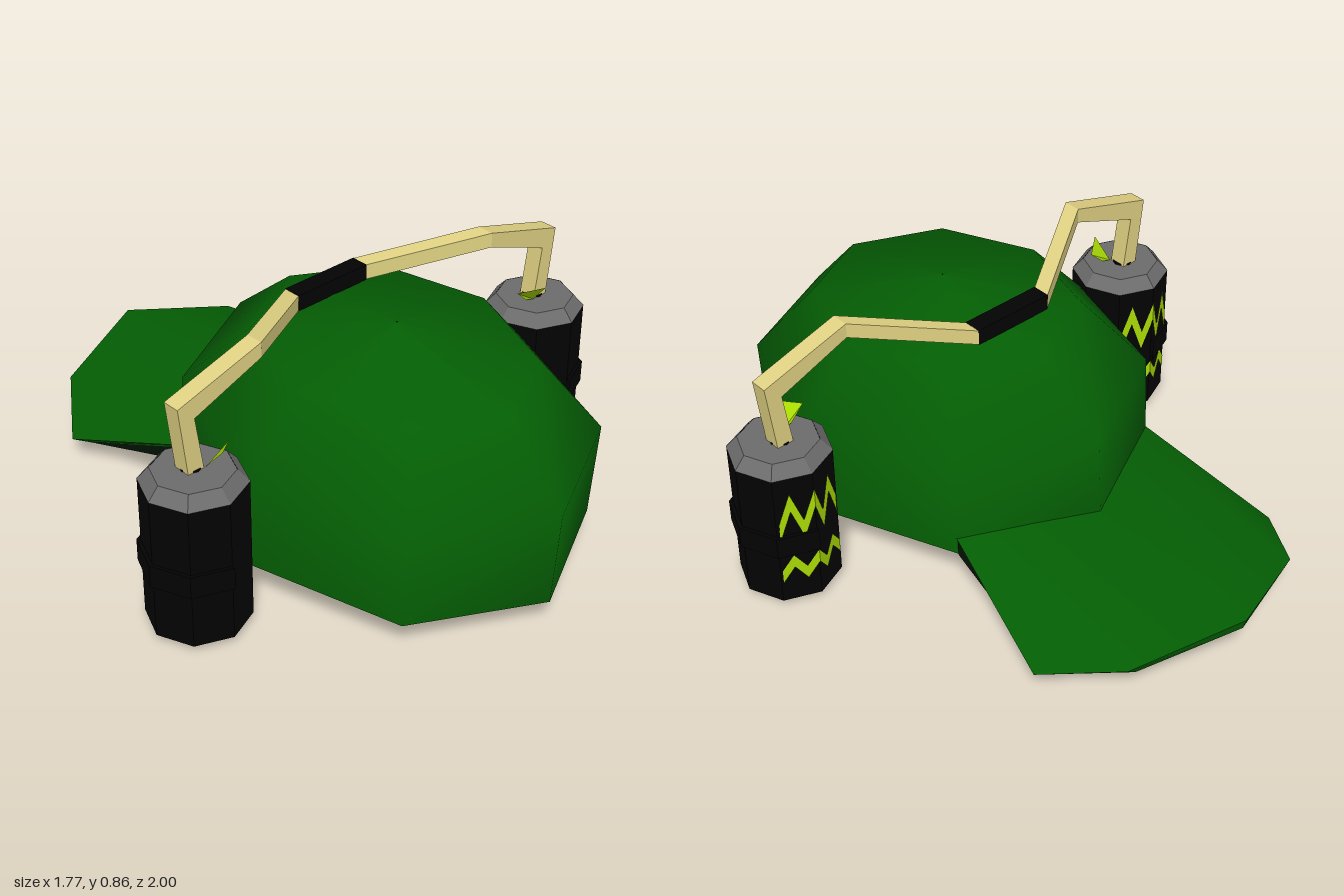
import * as THREE from 'three';

const mat = (name, color, flatShading = false) =>
  new THREE.MeshStandardMaterial({ name, color, side: THREE.DoubleSide, flatShading });

// Skins a list of equally long cross-sections; closed joins the last point to the first.
// Open sheets mirror their diagonals about the middle.
function loft(sections, closed, capEnds = false) {
  const n = sections[0].length, index = [];
  for (let r = 0; r < sections.length - 1; r++) {
    for (let i = 0; i < (closed ? n : n - 1); i++) {
      const a = r * n + i, b = r * n + (i + 1) % n;
      if (!closed && i >= (n - 1) / 2) index.push(a, b, a + n, b, b + n, a + n);
      else index.push(a, b, b + n, a, b + n, a + n);
    }
  }
  if (capEnds) {
    const e = (sections.length - 1) * n;
    for (let i = 1; i < n - 1; i++) index.push(0, i + 1, i, e, e + i, e + i + 1);
  }
  const g = new THREE.BufferGeometry();
  g.setAttribute('position', new THREE.Float32BufferAttribute(sections.flat(2), 3));
  g.setIndex(index);
  g.computeVertexNormals();
  return g;
}

export function createModel() {
  const green = mat('cap green', 0x045e04);
  const lining = mat('dark lining', 0x041505);
  const brimUnder = mat('dark brim green', 0x031203, true);
  const brimEdge = mat('brim edge green', 0x045e04, true);
  const black = mat('black', 0x030303, true);
  const grey = mat('can metal', 0x6c6c6c, true);
  const tan = mat('straw tan', 0xe0d182, true);
  const lime = mat('lime', 0xaada04, true);

  const model = new THREE.Group();
  model.name = 'drinkCap';
  const add = (parent, name, geometry, material, x = 0, y = 0, z = 0) => {
    const m = new THREE.Mesh(geometry, material);
    m.name = name;
    m.position.set(x, y, z);
    parent.add(m);
  };

  // Crown and its lining: eight-sided tilted rings [rx, rz, y, z]
  const shell = rings => loft(rings.map(([rx, rz, y, z]) => Array.from({ length: 8 }, (_, i) => {
    const a = i * Math.PI / 4, dz = rz * Math.cos(a);
    return [rx * Math.sin(a), y - 0.072 * dz, z + dz];
  })), true);
  add(model, 'crown', shell([[0.57, 0.69, 0.15, 0.29], [0.575, 0.69, 0.47, 0.31],
    [0.385, 0.465, 0.685, 0.325], [0.002, 0.002, 0.76, 0.33]]), green);
  add(model, 'crownLining', shell([[0.567, 0.687, 0.15, 0.29], [0.565, 0.68, 0.465, 0.31],
    [0.378, 0.458, 0.675, 0.325], [0.002, 0.002, 0.75, 0.33]]), lining);

  // Brim: drooping sheet, its underside running back to the lower rim of the crown
  const mirrorRow = half => [...half.map(([x, y, z]) => [-x, y, z]), ...half.slice(0, -1).reverse()];
  const inner = mirrorRow([[0.405, 0.245, -0.19], [0.205, 0.25, -0.285], [0, 0.25, -0.385]]);
  const outer = mirrorRow([[0.51, 0.085, -0.65], [0.35, 0.155, -0.87], [0, 0.222, -1]]);
  const rimRow = mirrorRow([[0.403, 0.235, -0.193], [0.405, 0.183, -0.2],
    [0.204, 0.191, -0.303], [0, 0.198, -0.405]]);
  const outerLow = outer.map(([x, y, z]) => [x * 0.88, y - 0.037, z * 0.99]);
  add(model, 'brimTop', loft([inner.slice().reverse(), outer.slice().reverse()], false), green);
  add(model, 'brimUnderside', loft([rimRow, [outerLow[0], ...outerLow, outerLow[4]]], false), brimUnder);
  add(model, 'brimEdge', loft([[inner[0], ...outer, inner[4]],
    [rimRow[0], ...outerLow, rimRow[6]]], false), brimEdge);

  // Zigzag strip wrapped over the two rear faces of a can
  const zigzag = (y0, y1, thickness, steps, half) => {
    const row = offset => Array.from({ length: steps + 1 }, (_, i) => {
      const s = half * (2 * i / steps - 1);
      return [s * 0.924, (i % 2 ? y1 : y0) + offset, -0.164 + Math.abs(s) * 0.383];
    });
    return loft([row(0), row(thickness)], false);
  };

  for (const side of [1, -1]) {
    const can = new THREE.Group();
    can.name = side > 0 ? 'leftCan' : 'rightCan';
    can.position.set(side * 0.715, 0, 0.25);
    model.add(can);
    add(can, 'canBody', new THREE.CylinderGeometry(0.16, 0.16, 0.475, 8, 1, true), black, 0, 0.2625);
    add(can, 'canShoulder', new THREE.CylinderGeometry(0.125, 0.161, 0.04, 8, 1, true), grey, 0, 0.52);
    add(can, 'canLid', new THREE.CylinderGeometry(0.125, 0.125, 0.01, 8), grey, 0, 0.534);
    add(can, 'canBase', new THREE.CylinderGeometry(0.16, 0.002, 0.025, 8, 1, true), grey, 0, 0.0125);
    // Holder strap round the outer half
    add(can, 'strap', new THREE.CylinderGeometry(0.172, 0.172, 0.075, 4, 1, false,
      side > 0 ? 0 : Math.PI, Math.PI), black, 0, 0.2475);
    add(can, 'upperZigzag', zigzag(0.265, 0.375, 0.068, 6, 0.115), lime);
    add(can, 'lowerZigzag', zigzag(0.1, 0.155, 0.048, 6, 0.118), lime);
    add(can, 'opening', new THREE.CylinderGeometry(0.034, 0.034, 0.006, 8), black, 0, 0.541, -0.01);

    // Raised pull tab
    const tab = loft([[[side * -0.03, 0.54, 0.02], [side * -0.065, 0.55, 0.02]],
      [[side * -0.045, 0.612, 0.08], [side * -0.115, 0.595, 0.025]]], false);
    add(can, 'pullTab', tab, lime);

    // Square straw, each section [x1, y1, x2, y2, z]
    const straw = [[0.688, 0.53, 0.745, 0.53, 0.239], [0.715, 0.715, 0.773, 0.767, 0.239],
      [0.47, 0.808, 0.47, 0.857, 0.239], [0.14, 0.735, 0.14, 0.785, 0.028]];
    add(model, side > 0 ? 'leftStraw' : 'rightStraw',
      loft(straw.map(([x1, y1, x2, y2, z]) => {
        const s = [[x1 * side, y1, z - 0.029], [x2 * side, y2, z - 0.029],
          [x2 * side, y2, z + 0.029], [x1 * side, y1, z + 0.029]];
        return side > 0 ? s.reverse() : s;
      }), true, true), tan);
  }

  // Joint between the straws
  add(model, 'strawJoint', new THREE.BoxGeometry(0.28, 0.052, 0.06), black, 0, 0.76, 0.028);
  return model;
}
